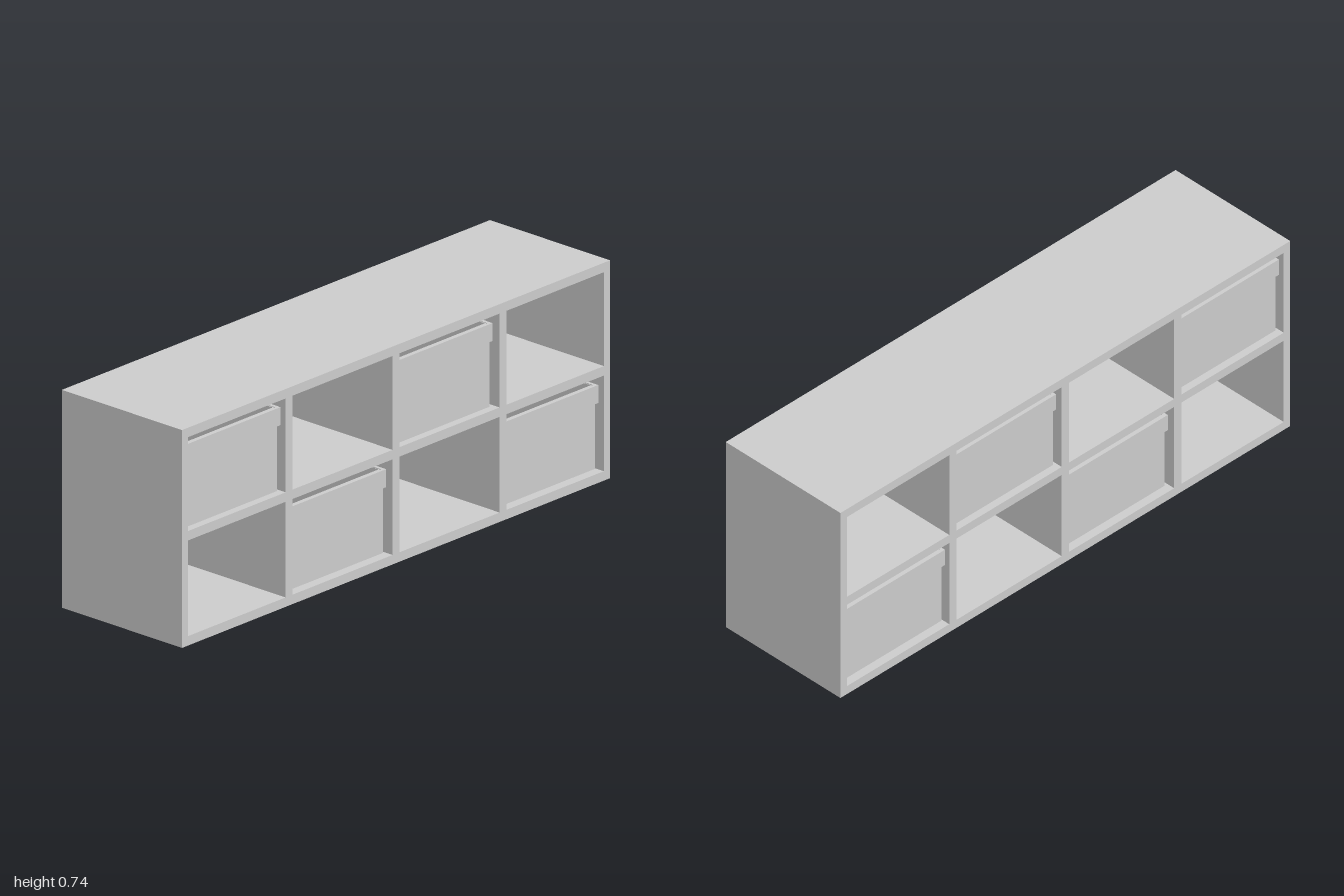
import * as THREE from 'three';

const W = 2, H = 0.74, D = 0.516, T = 0.032;
const material = new THREE.MeshStandardMaterial({ color: 0xcccccc, flatShading: true });

function box(name, w, h, d, x, y, z) {
  const mesh = new THREE.Mesh(new THREE.BoxGeometry(w, h, d), material);
  mesh.name = name;
  mesh.position.set(x, y, z);
  return mesh;
}

// Rectangular ring standing upright, open at the top and bottom
function ring(name, w, d, wall, y0, y1) {
  const rect = (P, a, b) => new P()
    .moveTo(-a, -b).lineTo(a, -b).lineTo(a, b).lineTo(-a, b).closePath();
  const shape = new THREE.Shape();
  rect(function () { return shape; }, w / 2, d / 2);
  const hole = new THREE.Path();
  rect(function () { return hole; }, w / 2 - wall, d / 2 - wall);
  shape.holes.push(hole);
  const geometry = new THREE.ExtrudeGeometry(shape, { depth: y1 - y0, bevelEnabled: false });
  geometry.rotateX(-Math.PI / 2);
  const mesh = new THREE.Mesh(geometry, material);
  mesh.name = name;
  mesh.position.y = y0;
  return mesh;
}

// Open storage bin with a folded cuff around its rim
function storageBin(x, y) {
  const bin = new THREE.Group();
  bin.name = 'storageBin';
  bin.add(
    box('binFloor', 0.434, 0.012, 0.464, 0, 0.006, 0),
    ring('binWalls', 0.434, 0.464, 0.01, 0, 0.284),
    ring('binCuff', 0.443, 0.484, 0.012, 0.225, 0.286),
  );
  bin.position.set(x, y, 0);
  return bin;
}

export function createModel() {
  const group = new THREE.Group();
  group.name = 'cubeShelf';

  // Outer frame
  group.add(
    box('bottomPanel', W, T, D, 0, T / 2, 0),
    box('topPanel', W, T, D, 0, H - T / 2, 0),
  );
  for (const s of [-1, 1]) {
    group.add(box(s > 0 ? 'leftPanel' : 'rightPanel', 0.029, H - 2 * T, D, s * (W / 2 - 0.0145), H / 2, 0));
  }

  // Middle shelf and upright dividers
  group.add(box('middleShelf', W - 0.058, T, D, 0, 0.373, 0));
  const bays = [[T, 0.357], [0.389, H - T]];
  for (const x of [-0.5, 0, 0.5]) {
    for (const [y0, y1] of bays) {
      group.add(box('divider', T, y1 - y0, D, x, (y0 + y1) / 2, 0));
    }
  }

  // Bins in alternating compartments
  [-0.744, -0.25, 0.247, 0.741].forEach((x, i) => {
    group.add(storageBin(x, i % 2 ? 0.037 : 0.39));
  });
  return group;
}
